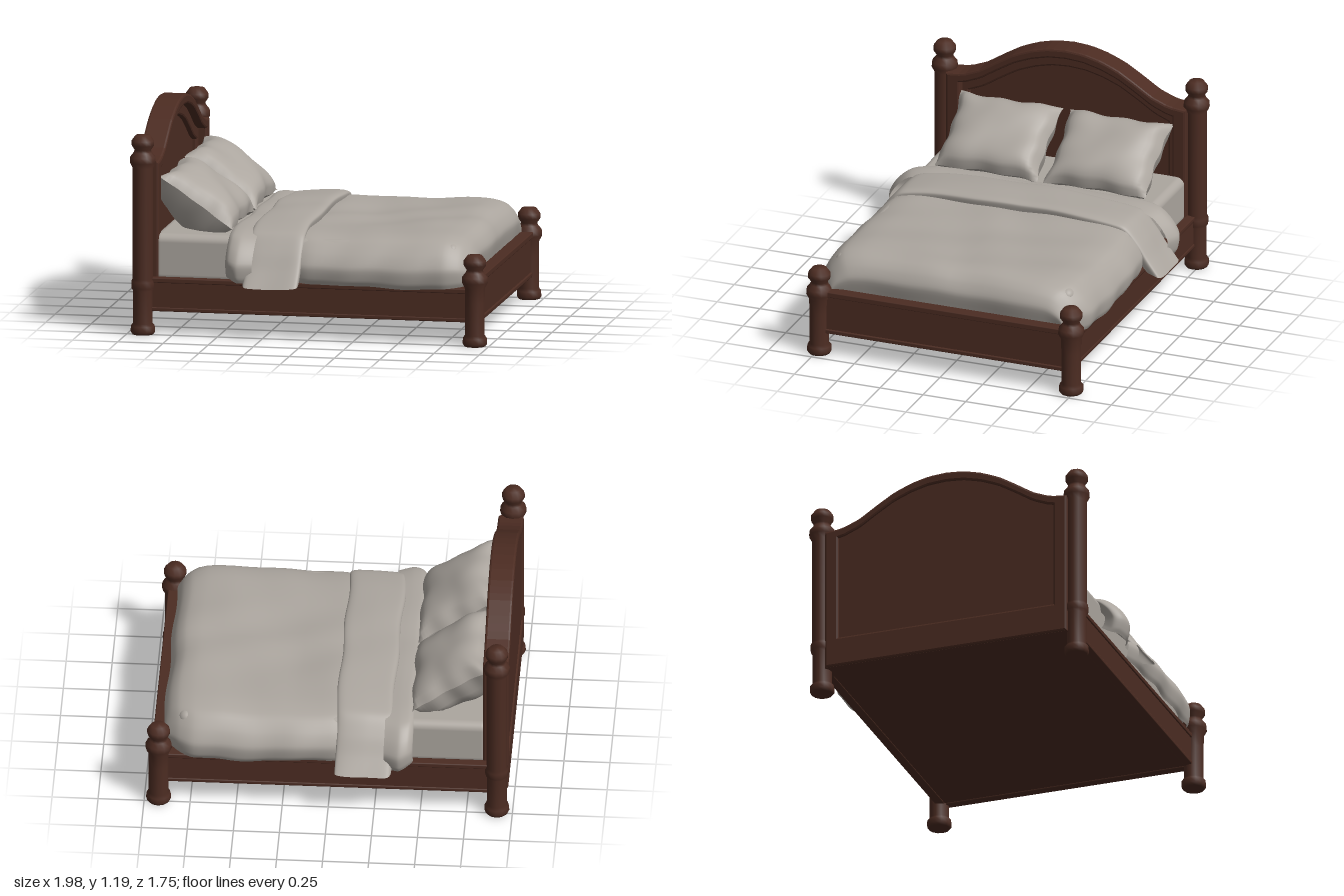
import * as THREE from 'three';
import { mergeGeometries } from 'three/addons/utils/BufferGeometryUtils.js';
import { RoundedBoxGeometry } from 'three/addons/geometries/RoundedBoxGeometry.js';

const wood = new THREE.MeshStandardMaterial({ color: 0x4c2c22 });
wood.name = 'dark wood';
const linen = new THREE.MeshStandardMaterial({ color: 0xaca69f, side: THREE.DoubleSide });
linen.name = 'linen';

// Smooth sheet from a rule fn(u, v) with u, v in 0..1
function sheet(nu, nv, fn) {
  const pos = [], idx = [];
  for (let i = 0; i <= nu; i++) for (let j = 0; j <= nv; j++) pos.push(...fn(i / nu, j / nv));
  for (let i = 0; i < nu; i++) for (let j = 0; j < nv; j++) {
    const a = i * (nv + 1) + j, b = a + nv + 1;
    idx.push(a, a + 1, b, b, a + 1, b + 1);
  }
  const g = new THREE.BufferGeometry();
  g.setAttribute('position', new THREE.Float32BufferAttribute(pos, 3));
  g.setIndex(idx);
  g.computeVertexNormals();
  return g;
}

const curve = (pts) => new THREE.CatmullRomCurve3(
  pts.map(([a, b]) => new THREE.Vector3(a, b, 0)), false, 'catmullrom', 0.4);

// Cloth draped over the bed: stations are [x, top, halfWidth, hem],
// section is half a cross-section as [z fraction, height fraction]
function drape(stations, section, wrinkle) {
  const along = curve(stations.map((s) => [s[0], s[1]]));
  const sides = curve(stations.map((s) => [s[2], s[3]]));
  const half = curve(section);
  return sheet(44, 64, (u, v) => {
    const t = v * 2 - 1, a = along.getPoint(u), s = sides.getPoint(u), p = half.getPoint(Math.abs(t));
    const z = Math.sign(t) * p.x * s.x;
    const fold = Math.sin(7 * a.x + 9 * z + 2 * Math.sin(5 * z)) * 0.6 + Math.sin(17 * a.x - 6 * z) * 0.4;
    const sideways = Math.sin(22 * a.x + 3 * t) * wrinkle * (1 - p.y);
    return [a.x + Math.sin(11 * z) * 0.006, s.y + (a.y - s.y) * p.y + wrinkle * fold, z + Math.sign(t) * sideways];
  });
}

// Leaning cushion with pinched corners, flattened where it rests
function pillowGeometry(seed) {
  const side = (thick) => sheet(24, 24, (a, b) => {
    const u = a * 2 - 1, v = b * 2 - 1;
    const h = Math.pow((1 - u ** 4) * (1 - v ** 4), 0.6);
    const z = u * 0.3 * (1 - 0.06 * (1 - v * v)) + 0.005 * Math.sin(9 * v + seed);
    const s = v * 0.245 * (1 - 0.07 * (1 - u * u)) + 0.006 * Math.sin(8 * u + seed);
    const n = thick * h * (1 + 0.08 * Math.sin(4 * u + 3 * v + seed));
    return [Math.max(-0.87, -0.645 - s * 0.82 + n * 0.57), Math.max(0.535, 0.705 + s * 0.57 + n * 0.82), z];
  });
  return mergeGeometries([side(0.1), side(-0.19)]);
}

// Headboard outline: height of the arch at a distance z from the middle
const archPoints = [1.187, 1.18, 1.155, 1.115, 1.055, 0.99, 0.95, 0.94, 0.94];
function archY(z) {
  const f = Math.abs(z) * 10, i = Math.min(7, Math.floor(f));
  const t = f - i;
  return archPoints[i] * (1 - t) + archPoints[i + 1] * t;
}
function archOutline(w, drop, bottom) {
  const pts = [new THREE.Vector2(-w, bottom), new THREE.Vector2(w, bottom)];
  for (let i = 0; i <= 36; i++) {
    const z = w - (2 * w * i) / 36;
    pts.push(new THREE.Vector2(z, archY(z) - drop));
  }
  return pts;
}
function archSlab(outer, hole, x, depth, bevel = 0) {
  const shape = new THREE.Shape(outer);
  if (hole) shape.holes.push(new THREE.Path(hole));
  const g = new THREE.ExtrudeGeometry(shape, {
    depth, bevelEnabled: bevel > 0, bevelSize: bevel, bevelThickness: bevel, bevelOffset: -bevel, bevelSegments: 2,
  });
  return g.rotateY(Math.PI / 2).translate(x, 0, 0);
}

// Turned post: foot, collar, shaft, top ring and knob, h is the ring height
function postGeometry(h, collar) {
  const pts = [[0, 0], [0.058, 0], [0.068, 0.015], [0.066, 0.045], [0.054, 0.06], [0.054, 0.24]];
  if (collar) pts.push([0.064, 0.255], [0.064, 0.29], [0.056, 0.305]);
  pts.push([0.056, h - 0.05], [0.072, h - 0.02], [0.07, h + 0.01], [0.05, h + 0.035], [0.045, h + 0.05],
    [0.062, h + 0.075], [0.062, h + 0.1], [0.04, h + 0.13], [0, h + 0.135]);
  return new THREE.LatheGeometry(pts.map((p) => new THREE.Vector2(...p)), 12);
}

export function createModel() {
  const bed = new THREE.Group();
  bed.name = 'bed';
  const add = (name, geometry, material, x = 0, y = 0, z = 0) => {
    const m = new THREE.Mesh(geometry, material);
    m.name = name;
    m.position.set(x, y, z);
    bed.add(m);
    return m;
  };
  // Box given by its limits
  const box = (name, x0, x1, y0, y1, z0, z1) => add(name,
    new RoundedBoxGeometry(x1 - x0, y1 - y0, z1 - z0, 1, 0.006), wood, (x0 + x1) / 2, (y0 + y1) / 2, (z0 + z1) / 2);

  // Posts and side rails
  for (const s of [-1, 1]) {
    const end = s > 0 ? 'Front' : 'Back';
    add('headPost' + end, postGeometry(0.965, true), wood, -0.915, 0, s * 0.735);
    add('footPost' + end, postGeometry(0.37, false), wood, 0.922, 0, s * 0.735);
    const c = s * 0.718;
    box('sideRail' + end, -0.88, 0.9, 0.13, 0.31, c - 0.02, c + 0.02);
    box('sideRailCap' + end, -0.88, 0.9, 0.285, 0.312, c - 0.027, c + 0.027);
    box('sideRailBase' + end, -0.88, 0.9, 0.128, 0.15, c - 0.025, c + 0.025);
  }

  // Headboard: flat back, thick arched rim, stepped inner moulding
  add('headboardPanel', archSlab(archOutline(0.7, 0.01, 0.13), null, -0.965, 0.055), wood);
  add('headboardRim', archSlab(archOutline(0.7, 0, 0.13), archOutline(0.62, 0.055, 0.3), -0.975, 0.115, 0.012)
    .translate(0.012, 0, 0).scale(1, 1, 1), wood).scale.x = 1;
  add('headboardMoulding', archSlab(archOutline(0.64, 0.04, 0.28), archOutline(0.58, 0.12, 0.32), -0.94, 0.045, 0.012), wood);

  // Footboard with cap and base mouldings
  box('footboard', 0.9, 0.94, 0.13, 0.37, -0.71, 0.71);
  box('footboardCap', 0.885, 0.957, 0.345, 0.377, -0.71, 0.71);
  box('footboardBase', 0.895, 0.95, 0.128, 0.152, -0.71, 0.71);
  box('bedBase', -0.92, 0.91, 0.135, 0.29, -0.71, 0.71);

  // Mattress
  add('mattress', new RoundedBoxGeometry(1.69, 0.265, 1.39, 4, 0.045), linen, -0.025, 0.4125, 0);

  // Bedding
  const softSide = [[0, 1], [0.4, 1], [0.7, 0.99], [0.86, 0.9], [0.95, 0.66], [1, 0.38], [0.99, 0.12], [0.97, 0]];
  const flareSide = [[0, 1], [0.35, 0.98], [0.57, 0.94], [0.73, 0.87], [0.79, 0.77], [0.86, 0.54], [0.92, 0.29], [1, 0]];
  add('duvet', drape([
    [-0.12, 0.565, 0.74, 0.33], [0, 0.57, 0.775, 0.31], [0.2, 0.562, 0.785, 0.31], [0.4, 0.57, 0.785, 0.3],
    [0.6, 0.582, 0.785, 0.305], [0.74, 0.582, 0.775, 0.31], [0.82, 0.565, 0.74, 0.32], [0.87, 0.525, 0.7, 0.33],
    [0.9, 0.46, 0.67, 0.34], [0.88, 0.36, 0.66, 0.33],
  ], softSide, 0.007), linen);
  add('duvetUnderLayer', drape([
    [-0.43, 0.54, 0.72, 0.38], [-0.455, 0.558, 0.78, 0.34], [-0.43, 0.572, 0.82, 0.33],
    [-0.38, 0.575, 0.84, 0.31], [-0.3, 0.57, 0.81, 0.31],
  ], softSide, 0.004), linen);
  add('duvetFold', drape([
    [-0.33, 0.555, 0.8, 0.33], [-0.345, 0.585, 0.83, 0.31], [-0.32, 0.61, 0.865, 0.295], [-0.2, 0.62, 0.875, 0.295],
    [-0.08, 0.62, 0.87, 0.3], [-0.04, 0.605, 0.855, 0.305], [-0.045, 0.56, 0.79, 0.32],
  ], flareSide, 0.004), linen);

  // Pillows
  add('pillowFront', pillowGeometry(0.5), linen, 0, 0, 0.312);
  add('pillowBack', pillowGeometry(2.6), linen, 0, 0, -0.325);
  return bed;
}
